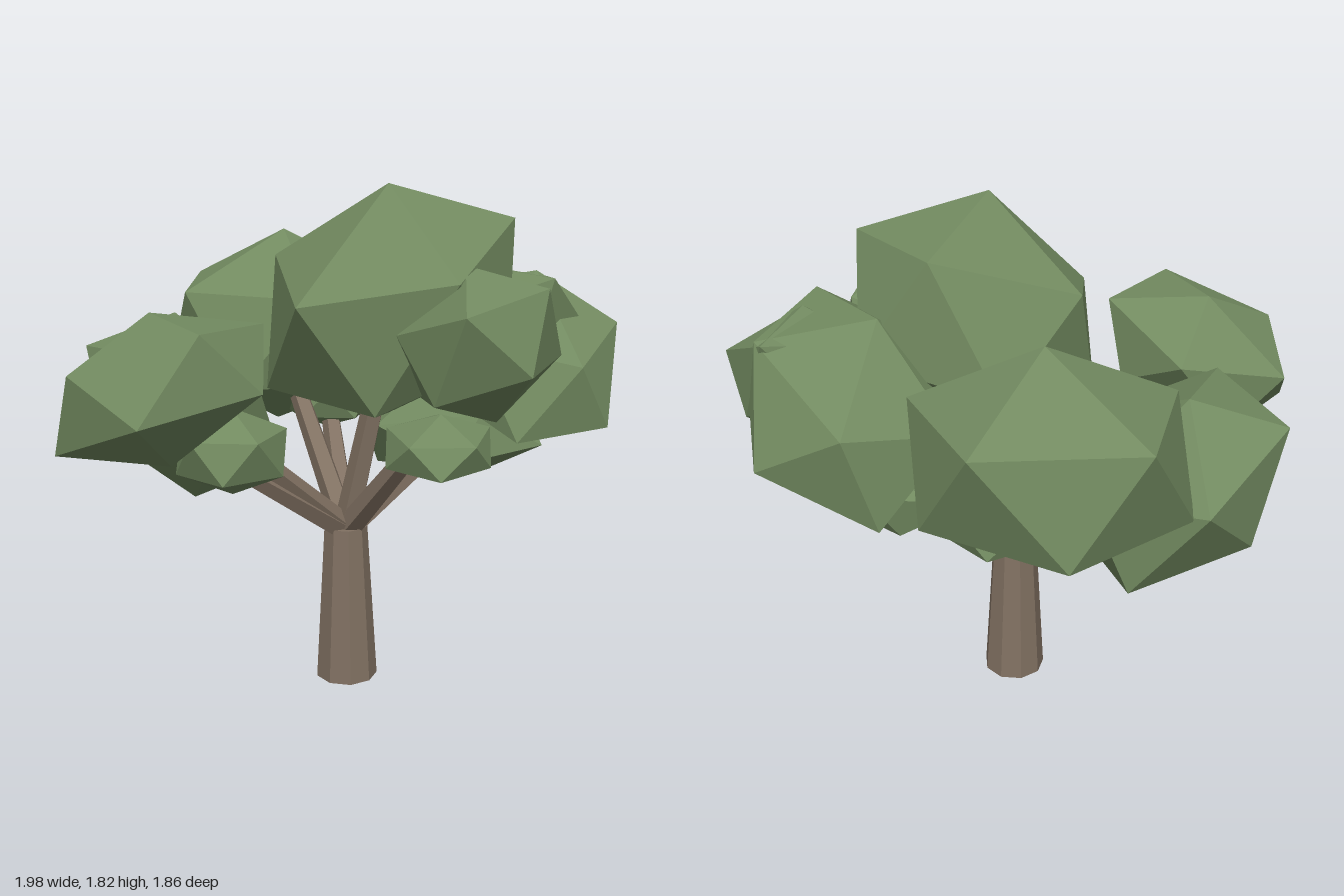
import * as THREE from 'three';

const V = (p) => new THREE.Vector3(...p);

// Icosahedron stretched so that one face has corners a, b, c (counter-clockwise from outside)
function leafClump(name, centre, a, b, c, material) {
  const mid = V(centre);
  const g = new THREE.IcosahedronGeometry(1, 0);
  const pos = g.attributes.position;
  const corner = (i) => new THREE.Vector3().fromBufferAttribute(pos, i);
  const source = new THREE.Matrix4().makeBasis(corner(0), corner(1), corner(2));
  const target = new THREE.Matrix4().makeBasis(V(a).sub(mid), V(b).sub(mid), V(c).sub(mid));
  g.applyMatrix4(target.multiply(source.invert()));
  g.computeVertexNormals();
  const mesh = new THREE.Mesh(g, material);
  mesh.name = name;
  mesh.position.copy(mid);
  return mesh;
}

// Tapered faceted limb between two points
function limb(name, from, to, r0, r1, sides, material) {
  const a = V(from), dir = V(to).sub(a);
  const g = new THREE.CylinderGeometry(r1, r0, dir.length(), sides).toNonIndexed();
  g.computeVertexNormals();
  const mesh = new THREE.Mesh(g, material);
  mesh.name = name;
  mesh.position.copy(a).addScaledVector(dir, 0.5);
  mesh.quaternion.setFromUnitVectors(new THREE.Vector3(0, 1, 0), dir.normalize());
  return mesh;
}

export function createModel() {
  const tree = new THREE.Group();
  tree.name = 'tree';
  const bark = new THREE.MeshStandardMaterial({ color: 0x817162 });
  bark.name = 'bark brown';
  const leaf = new THREE.MeshStandardMaterial({ color: 0x728a60 });
  leaf.name = 'leaf green';

  // Trunk
  tree.add(limb('trunk', [0.05, 0, 0.04], [0.04, 0.59, 0.04], 0.115, 0.08, 9, bark));

  // Branches fan out from the trunk top into the clumps
  const tips = [
    [-0.44, 0.9, -0.04], [-0.02, 0.98, 0.42], [0.45, 0.9, 0.2], [0.35, 0.95, -0.33],
    [-0.22, 0.92, -0.42], [0.08, 1.3, 0.2], [0.2, 1.1, -0.4], [0.5, 1.1, 0.4], [-0.6, 1.12, -0.06],
  ];
  tips.forEach((p) => tree.add(limb('branch', [0.045, 0.57, 0.04], p, 0.05, 0.035, 5, bark)));

  // Leaf clumps: name, centre, three corners of one face
  const clumps = [
    ['topClump', [0.078, 1.41, 0.2], [-0.03, 1.82, 0.28], [0.37, 1.7, 0.5], [0.38, 1.72, 0]],
    ['rightClump', [0.6, 1.22, 0.2], [0.5, 1.52, 0.13], [0.84, 1.45, 0.34], [0.79, 1.275, -0.145]],
    ['frontRightClump', [0.57, 1.2, 0.44], [0.63, 0.97, 0.75], [0.83, 1.31, 0.65], [0.49, 1.2, 0.72]],
    ['leftClump', [-0.71, 1.2, -0.07], [-0.43, 1.395, 0.11], [-0.45, 1.25, -0.28], [-0.68, 1.43, -0.15]],
    ['frontClump', [0.06, 1.32, 0.6], [-0.1, 1.28, 0.9], [0.33, 1.27, 0.73], [0.08, 1.52, 0.83]],
    ['backLeftClump', [-0.24, 1.0, -0.51], [-0.2, 1.33, -0.6], [-0.48, 1.22, -0.775], [-0.565, 1.25, -0.34]],
    ['backRightClump', [0.285, 1.235, -0.53], [0.31, 1.61, -0.535], [0.59, 1.4, -0.21], [0.68, 1.42, -0.695]],
    ['lowRightClump', [0.43, 0.91, 0.2], [0.45, 0.755, 0.32], [0.55, 0.8, -0.03], [0.72, 0.865, 0.3]],
    ['lowLeftClump', [-0.44, 0.95, -0.04], [-0.44, 1.1, -0.04], [-0.64, 1.02, -0.02], [-0.5, 1.02, 0.15]],
    ['lowFrontClump', [-0.02, 0.98, 0.5], [-0.01, 1.09, 0.5], [-0.21, 1.02, 0.53], [-0.06, 1.02, 0.68]],
    ['lowBackClump', [0.35, 0.96, -0.34], [0.35, 1.08, -0.34], [0.43, 1.01, -0.18], [0.53, 1.01, -0.37]],
  ];
  clumps.forEach((c) => tree.add(leafClump(...c, leaf)));
  return tree;
}
